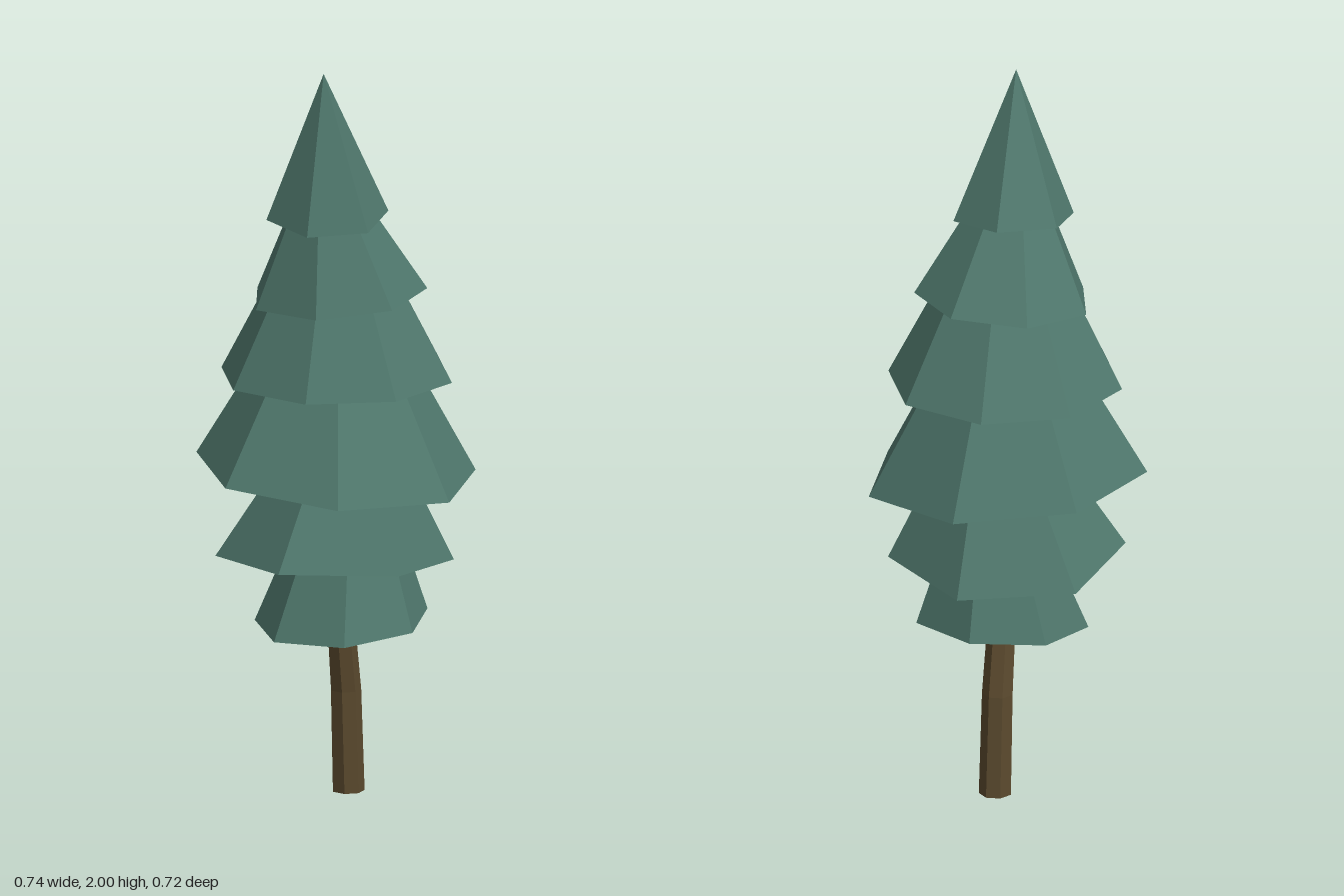
import * as THREE from 'three';

const leaf = new THREE.MeshStandardMaterial({ color: 0x4f776c, flatShading: true });
const bark = new THREE.MeshStandardMaterial({ color: 0x5b4a2e, flatShading: true });

// Lofts a closed, faceted stack of rings. Each ring: [x, y, z, radius], bottom to top.
// tilt = [rise per x, rise per z]; turn = angle of the first corner in degrees from +z.
function loft(name, material, sides, turn, rings, tilt = [0, 0]) {
  const last = rings.length - 1;
  const tip = rings[last][3] === 0 ? 0 : 1;
  const geo = new THREE.CylinderGeometry(tip, 1, 1, sides, last, false, THREE.MathUtils.degToRad(turn));
  const pos = geo.attributes.position;
  for (let i = 0; i < pos.count; i++) {
    const [cx, cy, cz, r] = rings[Math.round((pos.getY(i) + 0.5) * last)];
    const dx = pos.getX(i) * r, dz = pos.getZ(i) * r;
    pos.setXYZ(i, cx + dx, cy + dx * tilt[0] + dz * tilt[1], cz + dz);
  }
  geo.computeVertexNormals();
  const mesh = new THREE.Mesh(geo, material);
  mesh.name = name;
  return mesh;
}

// Foliage tiers from the lowest up: sides, turn, base ring, top ring, tilt
const tiers = [
  [7, 180, [0.01, 0.477, 0.004, 0.234], [0.015, 0.71, -0.015, 0.145], [0.03, -0.08]],
  [6, -4, [0.008, 0.658, 0.045, 0.315], [0.025, 0.93, 0.03, 0.16], [0.015, 0.087]],
  [7, 179, [0, 0.89, 0.016, 0.378], [0, 1.2, 0.01, 0.2], [-0.075, 0]],
  [8, 189, [0.005, 1.152, 0.025, 0.315], [0.01, 1.42, 0.045, 0.175], [0, 0]],
  [7, 164.4, [0.016, 1.38, 0.044, 0.237], [0.008, 1.64, 0.09, 0.1], [0.05, -0.06]],
  [6, 185, [0, 1.6, 0.074, 0.164], [0.012, 2, 0.125, 0], [-0.05, -0.12]],
];

export function createModel() {
  const tree = new THREE.Group();
  tree.name = 'pineTree';

  // Bent trunk, ending inside the foliage
  tree.add(loft('trunk', bark, 7, 12, [
    [0.005, 0, -0.048, 0.044],
    [0.004, 0.28, -0.033, 0.042],
    [0.005, 0.6, 0.022, 0.036],
  ]));

  tiers.forEach(([sides, turn, base, top, tilt], i) => {
    tree.add(loft(`foliageTier${i + 1}`, leaf, sides, turn, [base, top], tilt));
  });
  return tree;
}
